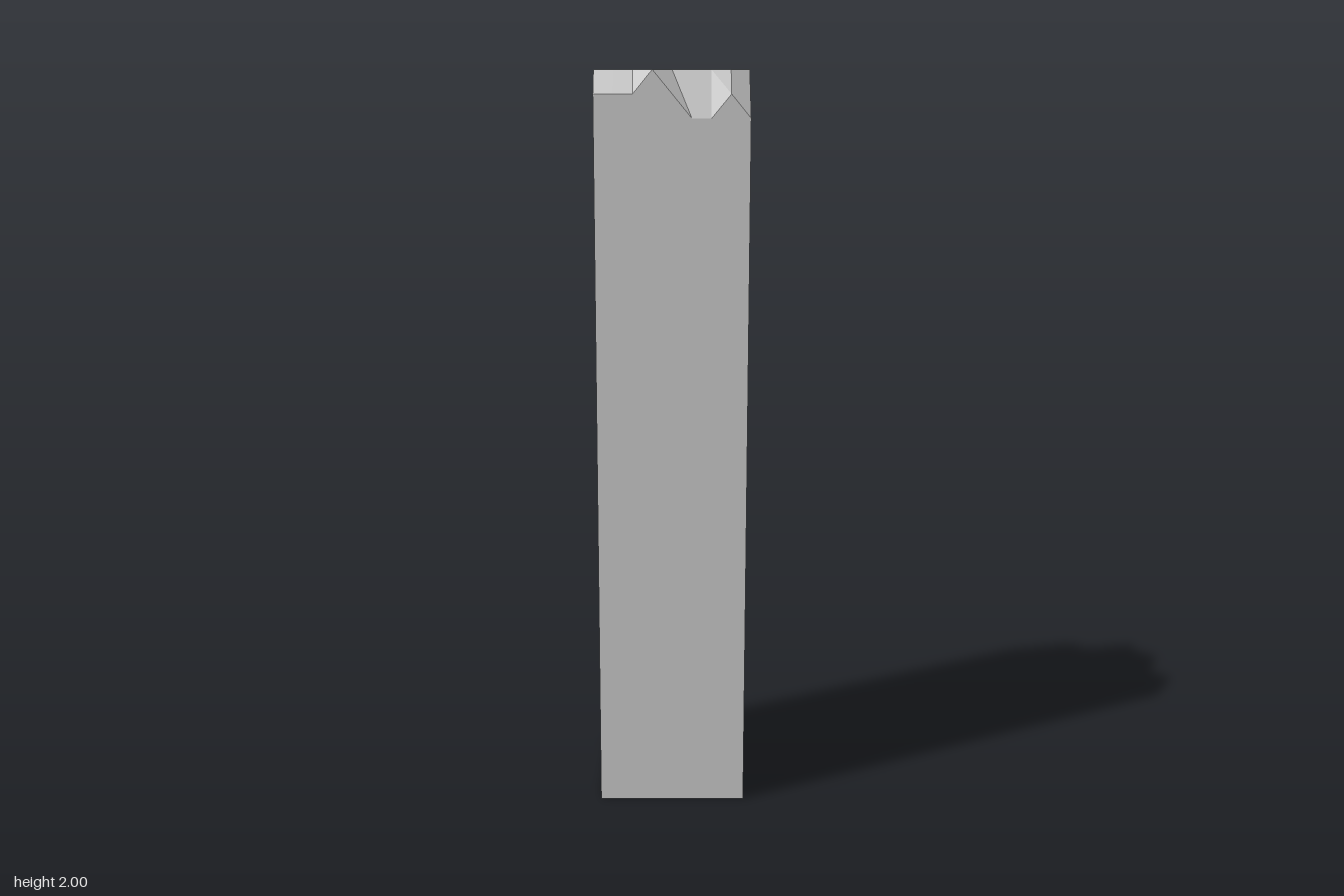
import * as THREE from 'three';

const HALF = 0.2, STEP = 0.05, INNER = 0.15, HEIGHT = 2, CHIP = 0.06;

// Chip depth of each rim point, in steps, walking front, left (+x), back, right (-x)
const CHIPS = '11101221' + '21011001' + '10121001' + '21100210';
// Rim cells whose crease starts from the lower of their two rim points
const FLIPPED = [4, 30];

// Rim point i of 32, eight per side
function rimPoint(i) {
  const t = -HALF + STEP * (i % 8);
  const y = HEIGHT - CHIP * Number(CHIPS[i]);
  const side = Math.floor(i / 8);
  const [x, z] = [[t, HALF], [HALF, -t], [-t, -HALF], [-HALF, t]][side];
  return new THREE.Vector3(x, y, z);
}

// Nearest point on the unchipped top
function innerPoint(p) {
  const c = (v) => THREE.MathUtils.clamp(v, -INNER, INNER);
  return new THREE.Vector3(c(p.x), HEIGHT, c(p.z));
}

// Flat-faced mesh from a list of corner points, three per triangle
function facetMesh(name, points) {
  const geometry = new THREE.BufferGeometry().setFromPoints(points);
  geometry.computeVertexNormals();
  const material = new THREE.MeshStandardMaterial({ color: 0xcccccc, flatShading: true });
  const mesh = new THREE.Mesh(geometry, material);
  mesh.name = name;
  return mesh;
}

// Square corners at a given height, anticlockwise seen from above
const square = (r, y) => [[-r, r], [r, r], [r, -r], [-r, -r]].map(([x, z]) => new THREE.Vector3(x, y, z));

export function createModel() {
  const shaft = [], rim = [], top = [];
  const quad = (list, a, b, c, d) => list.push(a, b, c, a, c, d);
  const tri = (list, a, b, c) => {
    if (!a.equals(b) && !b.equals(c) && !c.equals(a)) list.push(a, b, c);
  };

  for (let i = 0; i < 32; i++) {
    const a = rimPoint(i), b = rimPoint((i + 1) % 32);
    const ia = innerPoint(a), ib = innerPoint(b);

    // Wall strip from the ground to the broken edge
    const ground = (p) => new THREE.Vector3(p.x, 0, p.z);
    quad(shaft, ground(a), ground(b), b, a);

    // Chipped cell between the broken edge and the flat top
    if ((a.y >= b.y) !== FLIPPED.includes(i)) {
      tri(rim, a, b, ib);
      tri(rim, a, ib, ia);
    } else {
      tri(rim, a, b, ia);
      tri(rim, b, ib, ia);
    }
  }

  // Underside and flat middle of the top
  quad(shaft, ...square(HALF, 0).reverse());
  quad(top, ...square(INNER, HEIGHT));

  const pillar = new THREE.Group();
  pillar.name = 'brokenPillar';
  pillar.add(facetMesh('shaft', shaft), facetMesh('chippedRim', rim), facetMesh('topFace', top));
  return pillar;
}
